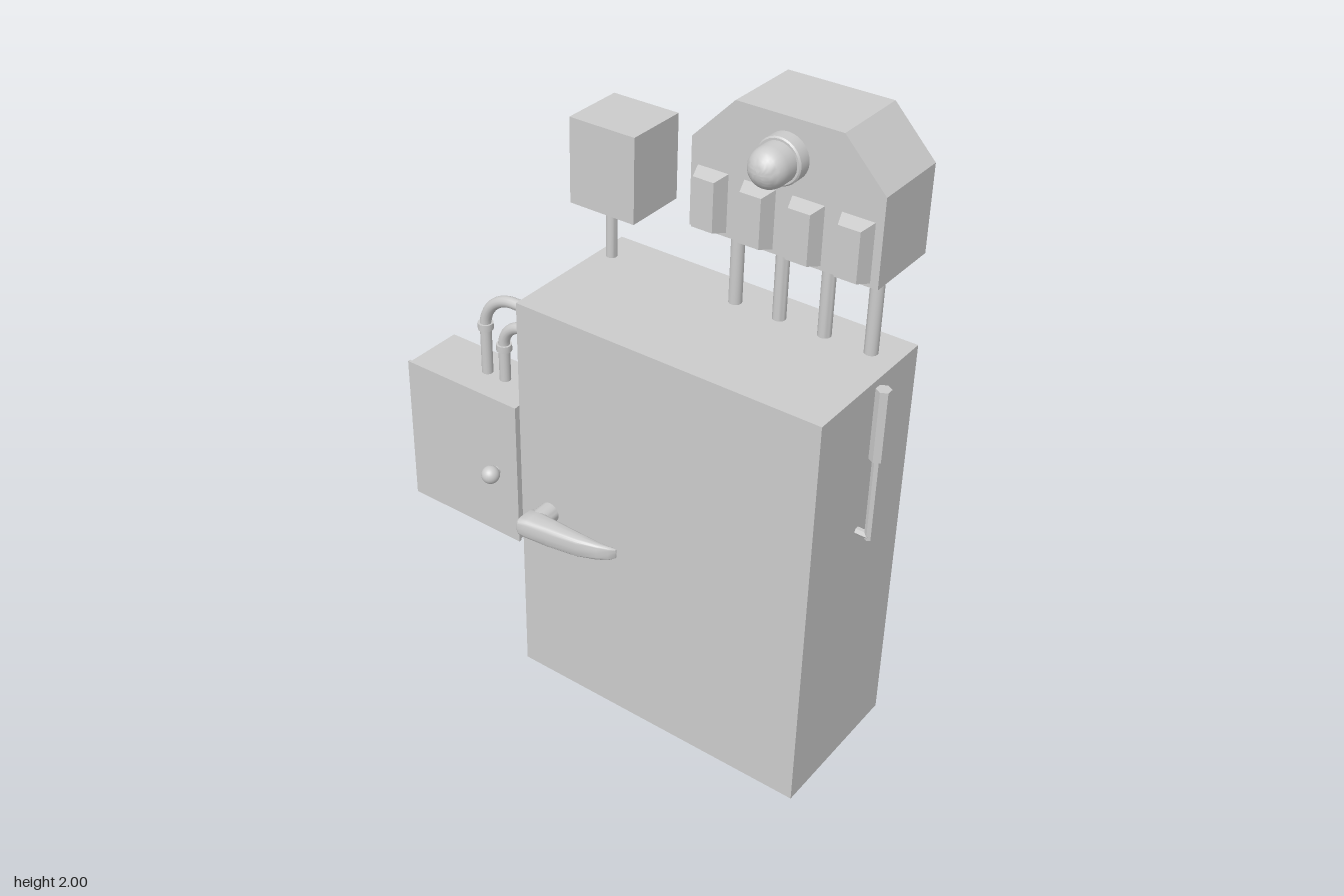
import * as THREE from 'three';
import { toCreasedNormals } from 'three/addons/utils/BufferGeometryUtils.js';

const V = (x, y, z) => new THREE.Vector3(x, y, z);
const smooth = new THREE.MeshStandardMaterial({ color: 0xcccccc, side: THREE.DoubleSide });
const flat = new THREE.MeshStandardMaterial({ color: 0xcccccc, side: THREE.DoubleSide, flatShading: true });

function add(parent, name, geometry, material = smooth) {
  const mesh = new THREE.Mesh(geometry, material);
  mesh.name = name;
  parent.add(mesh);
  return mesh;
}

function group(parent, name) {
  const g = new THREE.Group();
  g.name = name;
  parent.add(g);
  return g;
}

// Surface skinned over equal-length rings of points
function loft(rings) {
  const n = rings[0].length, index = [];
  for (let i = 0; i < rings.length - 1; i++) {
    for (let j = 0; j < n; j++) {
      const a = i * n + j, b = i * n + (j + 1) % n;
      index.push(a, b, a + n, b, b + n, a + n);
    }
  }
  const g = new THREE.BufferGeometry().setFromPoints(rings.flat());
  g.setIndex(index);
  g.computeVertexNormals();
  return g;
}

// Thin sheet-metal case: side walls and a front panel, open at the back
function openCase(parent, name, outline, back, front) {
  const g = group(parent, name);
  add(g, 'walls', loft([back, front].map(z => outline.map(([x, y]) => V(x, y, z)))), flat);
  const panel = new THREE.ShapeGeometry(new THREE.Shape(outline.map(p => new THREE.Vector2(...p))));
  add(g, 'frontPanel', panel.translate(0, 0, front), flat);
  return g;
}

const rect = (x0, x1, y0, y1) => [[x0, y0], [x1, y0], [x1, y1], [x0, y1]];

// Upright round bar between two heights
function post(parent, name, x, z, y0, y1, r, open = false, sides = 16) {
  const g = new THREE.CylinderGeometry(r, r, y1 - y0, sides, 1, open);
  return add(parent, name, toCreasedNormals(g.translate(x, (y0 + y1) / 2, z), 0.9));
}

// Turned part whose axis points forward; profile is [radius, z]
function turned(parent, name, x, y, profile) {
  const g = new THREE.LatheGeometry(profile.map(p => new THREE.Vector2(...p)), 28);
  return add(parent, name, toCreasedNormals(g.rotateX(Math.PI / 2).translate(x, y, 0), 0.7));
}

export function createModel() {
  const model = new THREE.Group();
  model.name = 'controlCabinet';
  const pipeZ = -0.197;

  // Main cabinet
  openCase(model, 'mainCabinet', rect(-0.178, 0.825, 0, 1.325), -0.307, 0.185);

  // Door handle: stem and tapering grip
  const handle = group(model, 'doorHandle');
  turned(handle, 'handleStem', -0.07, 0.638, [[0.033, 0.17], [0.033, 0.25]]);
  const stations = [ // x, back z, front z, low y, high y
    [-0.105, 0.26, 0.26, 0.64, 0.64], [-0.105, 0.232, 0.3, 0.614, 0.662],
    [-0.098, 0.226, 0.305, 0.607, 0.668], [-0.07, 0.225, 0.303, 0.603, 0.672],
    [0, 0.23, 0.295, 0.602, 0.673], [0.1, 0.232, 0.277, 0.605, 0.669],
    [0.16, 0.229, 0.257, 0.611, 0.663], [0.19, 0.223, 0.241, 0.615, 0.659],
    [0.206, 0.219, 0.226, 0.622, 0.652], [0.208, 0.221, 0.221, 0.637, 0.637],
  ];
  const squash = v => Math.sign(v) * Math.sqrt(Math.abs(v));
  const rings = stations.map(([x, z0, z1, y0, y1]) => Array.from({ length: 20 }, (_, j) => {
    const t = j / 20 * Math.PI * 2;
    return V(x, (y0 + y1) / 2 + squash(Math.cos(t)) * (y1 - y0) / 2,
      (z0 + z1) / 2 + squash(Math.sin(t)) * (z1 - z0) / 2);
  }));
  add(handle, 'handleGrip', toCreasedNormals(loft(rings), 0.7));

  // Side lever: sleeve, rod and foot reaching back to the cabinet wall
  const lever = group(model, 'sideLever');
  post(lever, 'leverSleeve', 0.863, -0.058, 1.105, 1.328, 0.022, false, 6);
  post(lever, 'leverRod', 0.863, -0.058, 0.836, 1.105, 0.012, false, 6);
  const foot = new THREE.CylinderGeometry(0.012, 0.012, 0.055, 6).rotateZ(Math.PI / 2);
  add(lever, 'leverFoot', foot.translate(0.838, 0.846, -0.058), flat);

  // Alarm panel with chamfered top corners
  const alarm = group(model, 'alarmPanel');
  openCase(alarm, 'alarmCase', [[0.235, 1.605], [0.815, 1.605], [0.815, 1.865],
    [0.685, 2], [0.365, 2], [0.235, 1.865]], -0.305, -0.06);

  // Warning lamp
  turned(alarm, 'lampBase', 0.525, 1.892, [[0.067, -0.065], [0.067, -0.022], [0.063, -0.018], [0.05, -0.018]]);
  const dome = [[0.057, -0.025]];
  for (let i = 0; i <= 10; i++) {
    const t = i / 10 * Math.PI / 2;
    dome.push([0.057 * Math.cos(t), 0.018 + 0.057 * Math.sin(t)]);
  }
  turned(alarm, 'lampDome', 0.525, 1.892, dome);

  // Four tapered buttons, each above a supporting pipe
  for (let i = 0; i < 4; i++) {
    const x = 0.305 + i * 0.146;
    const button = new THREE.BoxGeometry(0.1, 0.175, 0.05);
    const pos = button.attributes.position;
    for (let k = 0; k < pos.count; k++) {
      if (pos.getZ(k) > 0) pos.setXY(k, pos.getX(k) * 0.66, pos.getY(k) * 0.84);
    }
    add(alarm, 'button', button.translate(x, 1.703, -0.04), flat);
    post(alarm, 'supportPipe', x, pipeZ, 1.31, 1.615, 0.02, true);
    post(alarm, 'pipeCollar', x, pipeZ, 1.587, 1.605, 0.027);
  }

  // Small upper box on one pipe
  openCase(model, 'upperBox', rect(-0.195, 0.03, 1.525, 1.79), -0.29, -0.085);
  post(model, 'upperBoxPipe', -0.132, pipeZ, 1.31, 1.54, 0.017, true);

  // Side box with door slab and knob
  const side = group(model, 'sideBox');
  openCase(side, 'sideCase', rect(-0.885, -0.432, 0.187, 0.718), -0.302, -0.09);
  add(side, 'sideDoor', new THREE.BoxGeometry(0.462, 0.537, 0.01).translate(-0.659, 0.4525, -0.085), flat);
  turned(side, 'knobStem', -0.515, 0.442, [[0.014, -0.085], [0.014, -0.05]]);
  add(side, 'knob', new THREE.SphereGeometry(0.031, 24, 16).translate(-0.515, 0.442, -0.047));

  // Bent conduits from the main cabinet down to the side box
  for (const [x, y, bend, collarY] of [[-0.643, 1.021, 0.125, 0.895], [-0.567, 0.94, 0.09, 0.842]]) {
    const conduit = group(model, 'conduit');
    const path = new THREE.CurvePath();
    const a = V(x + bend, y, pipeZ), b = V(x, y - bend, pipeZ), k = bend * 0.45;
    path.add(new THREE.LineCurve3(V(-0.145, y, pipeZ), a));
    path.add(new THREE.CubicBezierCurve3(a, V(x + k, y, pipeZ), V(x, y - k, pipeZ), b));
    path.add(new THREE.LineCurve3(b, V(x, 0.695, pipeZ)));
    add(conduit, 'conduitPipe', new THREE.TubeGeometry(path, 80, 0.019, 14));
    post(conduit, 'conduitCollar', x, pipeZ, collarY - 0.012, collarY + 0.012, 0.026);
  }
  return model;
}
